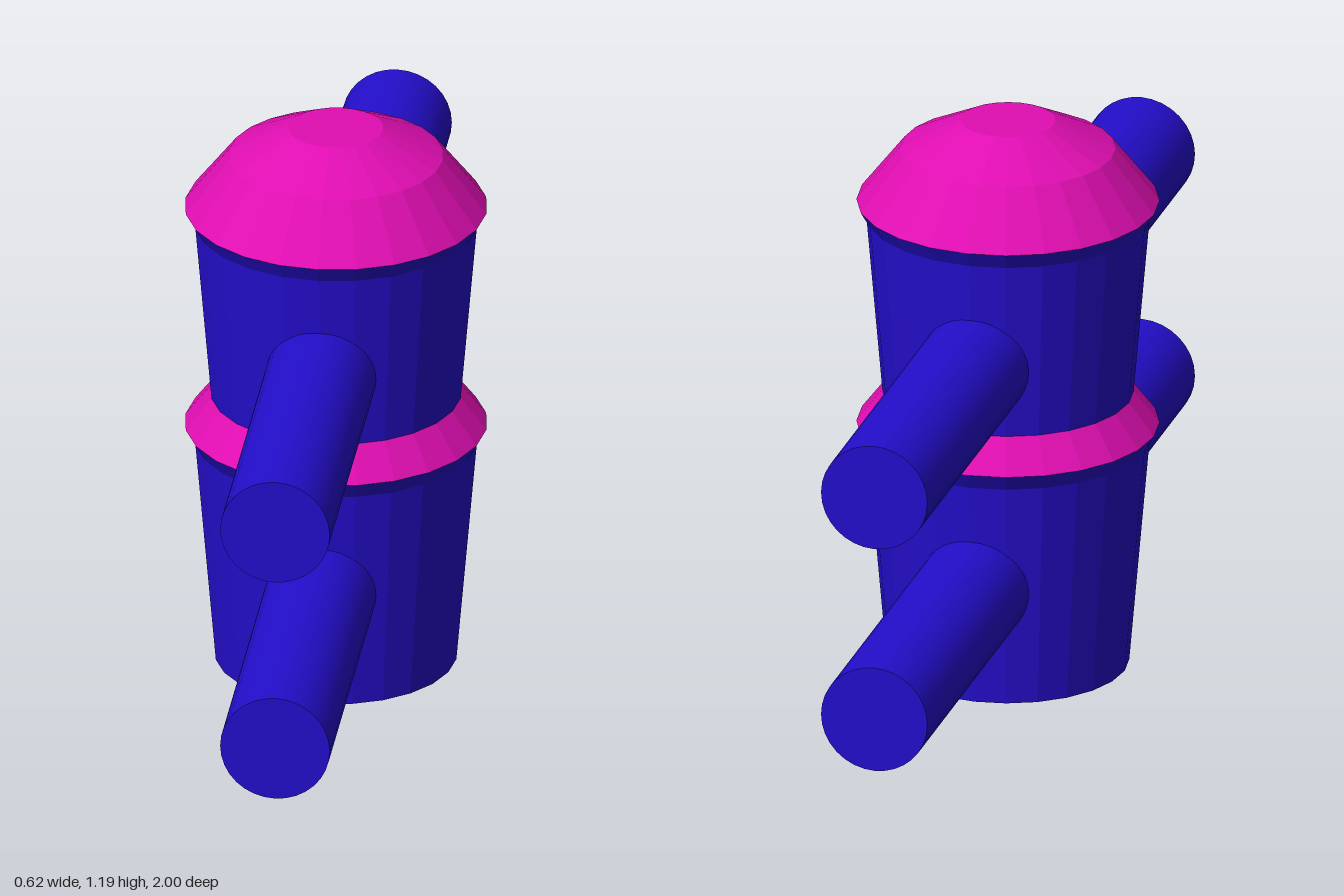
import * as THREE from 'three';

const SIDES = 24;

// Faceted surface of revolution from [radius, height] pairs, listed bottom to top
function facetedLathe(profile) {
  const points = profile.map(([r, y]) => new THREE.Vector2(r, y));
  const geometry = new THREE.LatheGeometry(points, SIDES).toNonIndexed();
  geometry.computeVertexNormals();
  return geometry;
}

export function createModel() {
  const blue = new THREE.MeshStandardMaterial({ color: 0x240ecc });
  blue.name = 'blue';
  const magenta = new THREE.MeshStandardMaterial({ color: 0xe00eb2 });
  magenta.name = 'magenta';

  const model = new THREE.Group();
  model.name = 'post';

  const add = (name, geometry, material) => {
    const mesh = new THREE.Mesh(geometry, material);
    mesh.name = name;
    model.add(mesh);
    return mesh;
  };

  // Tapered post sections, each flaring out to a lip
  add('lowerPost', facetedLathe([[0, 0], [0.248, 0], [0.29, 0.487], [0.31, 0.522]]), blue);
  add('upperPost', facetedLathe([[0.257, 0.591], [0.29, 0.975], [0.31, 1.01]]), blue);

  // Sloping collar between the sections and the domed cap
  add('collar', facetedLathe([[0.31, 0.522], [0.257, 0.591]]), magenta);
  add('cap', facetedLathe([[0.31, 1.01], [0.22, 1.125], [0.097, 1.186], [0, 1.186]]), magenta);

  // Round rails running front to back through the post
  for (const [name, y] of [['lowerRail', 0.25], ['upperRail', 0.738]]) {
    const rail = add(name, new THREE.CylinderGeometry(0.113, 0.113, 2, 32), blue);
    rail.rotation.x = Math.PI / 2;
    rail.position.y = y;
  }

  return model;
}
